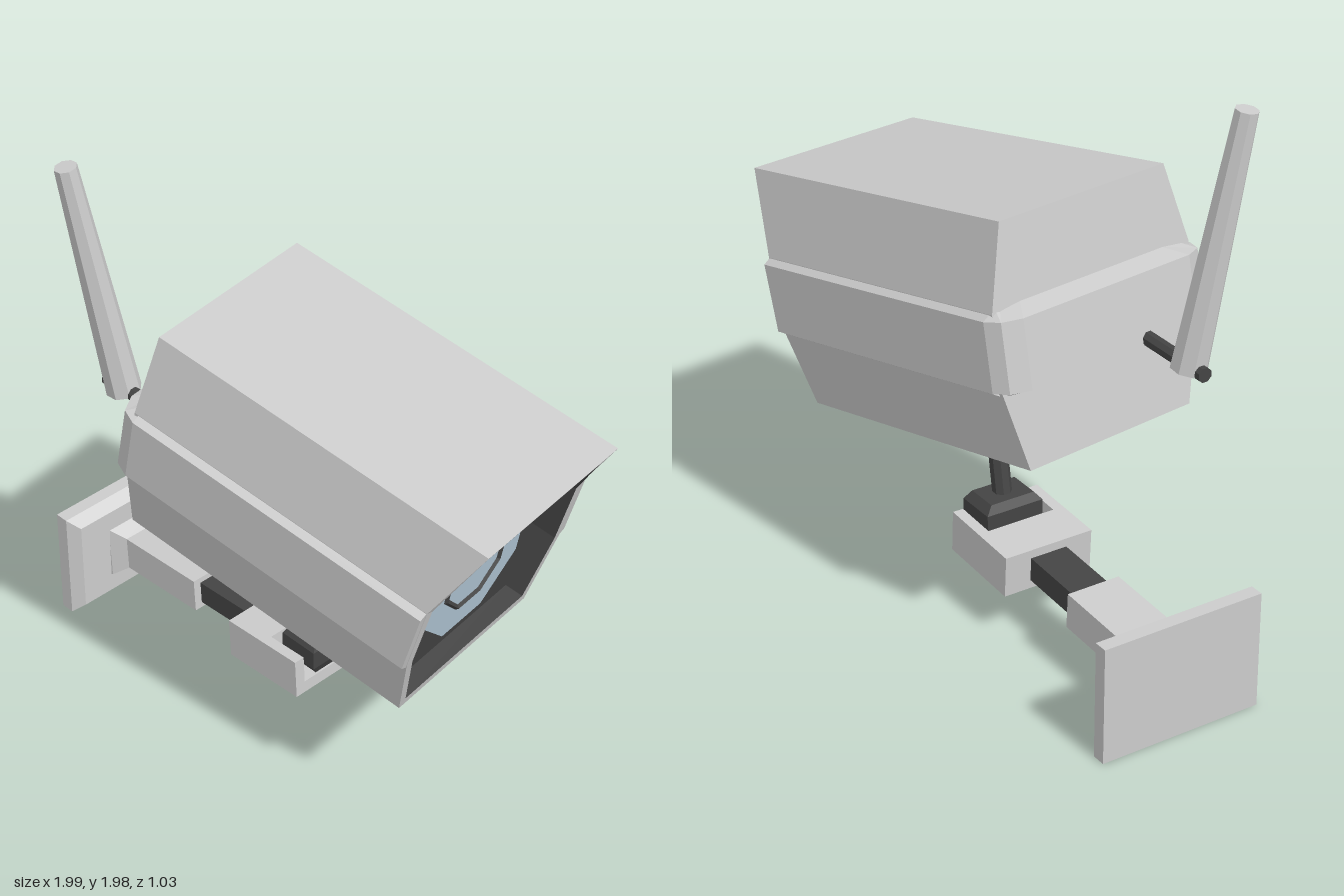
import * as THREE from 'three';

const paint = (color) => new THREE.MeshStandardMaterial({ color, flatShading: true });
const grey = paint(0xcccccc), dark = paint(0x444444), glass = paint(0xb4cad9), red = paint(0xc02828);

function add(parent, name, geometry, material = grey) {
  const mesh = new THREE.Mesh(geometry, material);
  mesh.name = name;
  parent.add(mesh);
  return mesh;
}

// Skin a row of equal-length loops, each counter-clockwise seen from the far end
function loft(loops, capStart = true, capEnd = true) {
  const pos = [];
  const tri = (a, b, c) => pos.push(...a, ...b, ...c);
  const n = loops[0].length;
  for (let k = 0; k < loops.length - 1; k++) {
    const p = loops[k], q = loops[k + 1];
    for (let i = 0; i < n; i++) {
      const j = (i + 1) % n;
      tri(p[i], p[j], q[j]);
      tri(p[i], q[j], q[i]);
    }
  }
  const first = loops[0], last = loops[loops.length - 1];
  for (let i = 1; i < n - 1; i++) {
    if (capStart) tri(first[0], first[i + 1], first[i]);
    if (capEnd) tri(last[0], last[i], last[i + 1]);
  }
  const g = new THREE.BufferGeometry();
  g.setAttribute('position', new THREE.Float32BufferAttribute(pos, 3));
  g.computeVertexNormals();
  return g;
}

// Rectangular loop across x: half height hy, half depth hz
const rect = (x, hy, hz) => [[x, -hy, -hz], [x, hy, -hz], [x, hy, hz], [x, -hy, hz]];
const block = (...rows) => loft(rows.map((r) => rect(...r)));

function box(w, h, d, x, y, z) {
  return new THREE.BoxGeometry(w, h, d).translate(x, y, z);
}

// Tapered rod between two points
function rod(from, to, r0, r1, sides) {
  const a = new THREE.Vector3(...from), b = new THREE.Vector3(...to);
  const dir = b.clone().sub(a);
  const g = new THREE.CylinderGeometry(r1, r0, dir.length(), sides);
  g.rotateY(Math.PI / sides);
  g.applyQuaternion(new THREE.Quaternion().setFromUnitVectors(new THREE.Vector3(0, 1, 0), dir.normalize()));
  return g.translate(...a.add(b).multiplyScalar(0.5).toArray());
}

// Symmetric housing section from [x, height, half width] rows, bottom to top
function section(rows) {
  return [
    ...rows.map(([x, y, w]) => [x, y, -w]),
    ...rows.slice().reverse().map(([x, y, w]) => [x, y, w]),
  ];
}

function makeCamera() {
  const cam = new THREE.Group();
  cam.name = 'cameraHead';

  // Housing shell with hooded, open front
  const outer = [[0.516, 0.70, 0.343], [0.542, 0.98, 0.415], [0.565, 1.237, 0.415], [0.68, 1.517, 0.343]];
  const inner = [[0.518, 0.73, 0.32], [0.542, 0.98, 0.385], [0.565, 1.225, 0.385], [0.645, 1.435, 0.32]];
  const back = section(outer.map(([, y, w]) => [-0.616, y, w]));
  const rim = section(inner);
  add(cam, 'housing', loft([back, section(outer), rim], true, false));
  const panel = section(inner.map(([, y, w]) => [0.45, y, w]));
  add(cam, 'frontRecess', loft([rim, panel], false, true), dark);

  // Raised band around both sides and the back, chamfered at the back corners
  const profile = [[0.05, 0.955], [0, 0.985], [0, 1.22], [0.05, 1.25]];
  const front = (y) => 0.54 + (y - 0.98) * 0.09;
  const stations = [
    (i, y) => [front(y), y, 0.44 - i],
    (i, y) => [-0.60, y, 0.44 - i],
    (i, y) => [-0.655 + 1.2 * i, y, 0.415 - i],
    (i, y) => [-0.685 + 1.4 * i, y, 0.35 - i],
  ];
  const half = stations.map((f) => profile.map(([i, y]) => f(i, y)));
  const mirrored = half.map((l) => l.map(([x, y, z]) => [x, y, -z])).reverse();
  add(cam, 'sideBand', loft([...half, ...mirrored]));

  // Lens plate, lens ring and indicator light
  const lens = new THREE.CylinderGeometry(0.274, 0.274, 0.04, 8).rotateY(Math.PI / 8).rotateZ(-Math.PI / 2);
  add(cam, 'lensPlate', lens.translate(0.46, 1.08, 0), glass);
  const ring = new THREE.TorusGeometry(0.152, 0.01, 4, 8).rotateZ(Math.PI / 8).rotateY(Math.PI / 2);
  add(cam, 'lensRing', ring.scale(1, 1.06, 1).translate(0.48, 1.08, 0), dark);
  add(cam, 'indicatorLight', box(0.03, 0.045, 0.05, 0.46, 1.268, 0.255), red);

  // Stepped mounting foot under the housing, built downwards
  const foot = new THREE.Group();
  foot.name = 'mountFoot';
  foot.position.set(-0.025, 0.705, -0.015);
  foot.rotation.z = -Math.PI / 2;
  add(foot, 'footPlate', block([0, 0.172, 0.155], [0.05, 0.172, 0.155], [0.085, 0.14, 0.125]));
  add(foot, 'footCollar', block([0.08, 0.115, 0.11], [0.115, 0.115, 0.11], [0.14, 0.09, 0.085]));
  cam.add(foot);

  // Pan right-hand and tilt down
  cam.position.set(0.003, 0, 0.025);
  cam.rotation.set(0, 0.133, -0.187, 'YZX');
  return cam;
}

function makeArm() {
  const arm = new THREE.Group();
  arm.name = 'bracketArm';
  arm.position.set(-0.88, 0.21, 0);
  arm.rotation.z = 0.05;
  add(arm, 'armSleeve', block([-0.05, 0.105, 0.14], [-0.03, 0.1, 0.138], [0.02, 0.064, 0.1], [0.38, 0.064, 0.1]));
  add(arm, 'armLink', box(0.3, 0.086, 0.14, 0.51, 0, 0), dark);

  // Forked end: solid rear, floor and two cheeks
  const fork = new THREE.Group();
  fork.name = 'fork';
  add(fork, 'forkRear', box(0.17, 0.15, 0.34, 0.725, 0, 0));
  add(fork, 'forkFloor', box(0.16, 0.045, 0.34, 0.89, -0.0525, 0));
  for (const s of [1, -1]) add(fork, 'forkCheek', box(0.16, 0.105, 0.04, 0.89, 0.0225, s * 0.15));
  arm.add(fork);
  return arm;
}

export function createModel() {
  const model = new THREE.Group();
  model.name = 'securityCamera';

  // Bevelled wall plate
  const plate = add(model, 'wallPlate', block([-1, 0.21, 0.3], [-0.95, 0.21, 0.3], [-0.912, 0.175, 0.265]));
  plate.position.y = 0.21;

  model.add(makeArm());

  // Joint between the fork and the camera
  const knuckle = add(model, 'knuckle',
    block([0, 0.06, 0.085], [0.03, 0.076, 0.11], [0.1, 0.076, 0.11], [0.145, 0.055, 0.08]), dark);
  knuckle.position.set(0.037, 0.385, 0);
  knuckle.rotation.z = -Math.PI / 2;
  add(model, 'post', rod([0.035, 0.34, 0], [0.075, 0.57, 0], 0.034, 0.034, 8), dark);

  model.add(makeCamera());

  // Antenna on its pivot rod
  add(model, 'antennaPivot', rod([-0.76, 1.11, 0.23], [-0.42, 1.11, 0.23], 0.026, 0.026, 8), dark);
  add(model, 'antenna', rod([-0.68, 1.1, 0.226], [-0.772, 1.975, 0.343], 0.062, 0.039, 8));

  return model;
}
